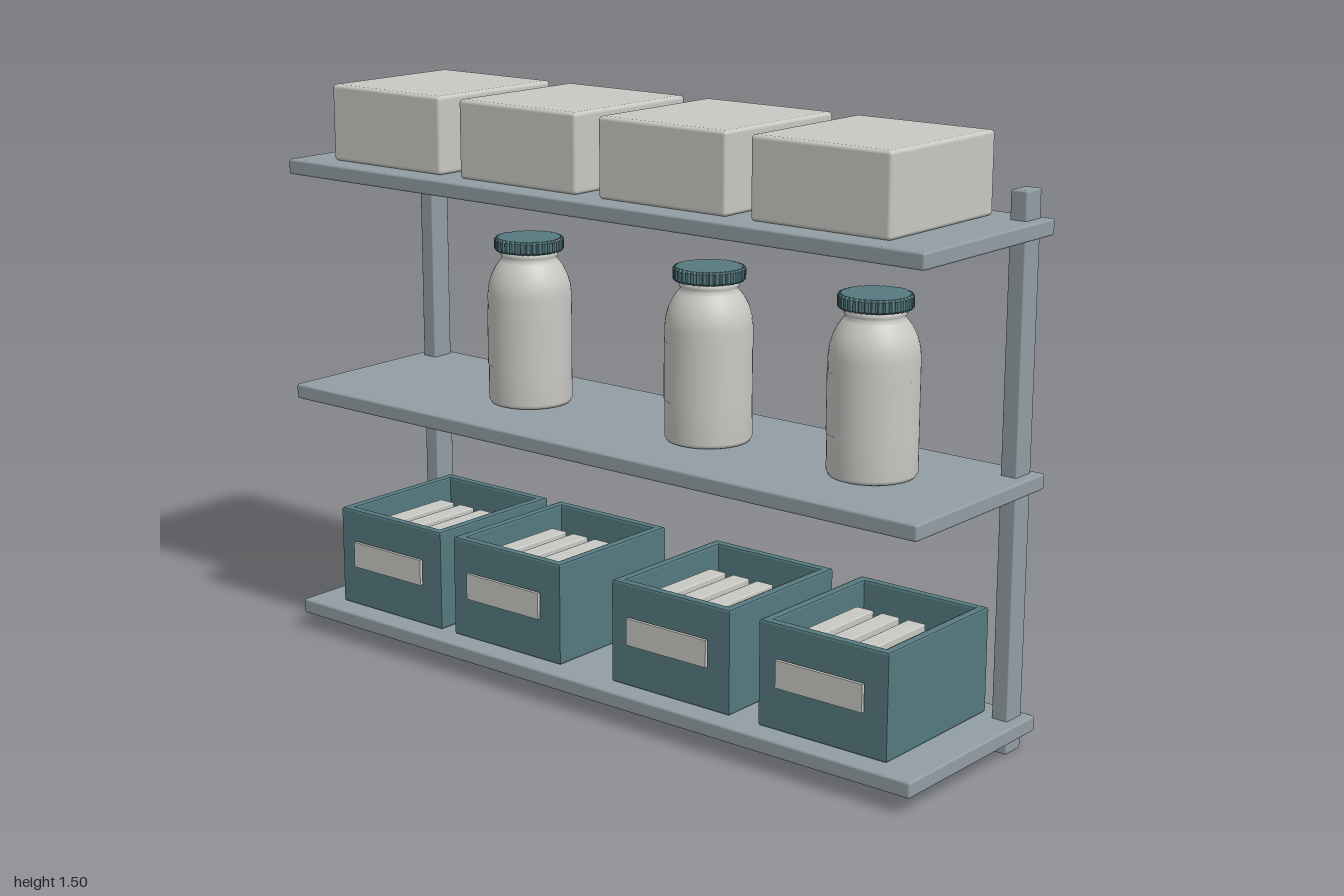
import * as THREE from 'three';
import { RoundedBoxGeometry } from 'three/addons/geometries/RoundedBoxGeometry.js';

function material(name, color) {
  const m = new THREE.MeshStandardMaterial({ color });
  m.name = name;
  return m;
}

const V = (x, y) => new THREE.Vector2(x, y);

export function createModel() {
  const steel = material('grey steel', 0x919da4);
  const white = material('off white', 0xc8c8c4);
  const teal = material('teal', 0x55797f);
  const label = material('label white', 0xc8c8c4);
  label.side = THREE.DoubleSide;

  const root = new THREE.Group();
  root.name = 'shelfUnit';

  function add(parent, name, geometry, mat, x = 0, y = 0, z = 0) {
    const mesh = new THREE.Mesh(geometry, mat);
    mesh.name = name;
    mesh.position.set(x, y, z);
    parent.add(mesh);
    return mesh;
  }
  function group(name, x, y, z = 0) {
    const g = new THREE.Group();
    g.name = name;
    g.position.set(x, y, z);
    root.add(g);
    return g;
  }
  const block = (w, h, d, r) => new RoundedBoxGeometry(w, h, d, 2, r);

  // Three boards carried by two rear posts
  const boardGeo = block(2, 0.04, 0.54, 0.006);
  for (const y of [0.065, 0.675, 1.285]) add(root, 'shelfBoard', boardGeo, steel, 0, y, 0);
  const postGeo = block(0.044, 1.375, 0.064, 0.004);
  for (const s of [-1, 1]) add(root, 'post', postGeo, steel, s * 0.95, 0.6875, -0.22);

  // Closed boxes on the top shelf
  const boxGeo = block(0.388, 0.2, 0.42, 0.01);
  for (const x of [-0.696, -0.241, 0.218, 0.676]) add(root, 'storageBox', boxGeo, white, x, 1.405, 0);

  // Bottles on the middle shelf
  const bottleGeo = new THREE.LatheGeometry([
    V(0, 0), V(0.096, 0), V(0.104, 0.003), V(0.109, 0.012), V(0.109, 0.1), V(0.109, 0.2),
    V(0.109, 0.29), V(0.106, 0.315), V(0.099, 0.338), V(0.088, 0.36), V(0.077, 0.375),
    V(0.07, 0.384), V(0.074, 0.39), V(0.074, 0.398), V(0.07, 0.402), V(0.07, 0.412), V(0, 0.412),
  ], 40);

  // Fluted cap outline, extruded upwards
  const teeth = 36;
  const capShape = new THREE.Shape();
  for (let i = 0; i < teeth * 4; i++) {
    const a = (i / (teeth * 4)) * Math.PI * 2;
    const r = i % 4 < 2 ? 0.086 : 0.081;
    if (i === 0) capShape.moveTo(r, 0);
    else capShape.lineTo(r * Math.cos(a), r * Math.sin(a));
  }
  const capGeo = new THREE.ExtrudeGeometry(capShape, {
    depth: 0.024, bevelEnabled: true, bevelThickness: 0.005, bevelSize: 0.004, bevelSegments: 1,
  });
  capGeo.rotateX(-Math.PI / 2);

  // Wraparound label on the front of each bottle
  const wrapGeo = new THREE.CylinderGeometry(0.1105, 0.1105, 0.15, 32, 1, true, -1.5, 3);
  for (const x of [-0.393, 0.2, 0.692]) {
    const bottle = group('bottle', x, 0.695);
    add(bottle, 'bottleBody', bottleGeo, white);
    add(bottle, 'bottleCap', capGeo, teal, 0, 0.408, 0);
    add(bottle, 'bottleLabel', wrapGeo, label, 0, 0.18, 0);
  }

  // Open bins on the bottom shelf
  function rectangle(path, w, d) {
    path.moveTo(-w / 2, -d / 2);
    path.lineTo(w / 2, -d / 2);
    path.lineTo(w / 2, d / 2);
    path.lineTo(-w / 2, d / 2);
    path.closePath();
    return path;
  }
  const wallShape = rectangle(new THREE.Shape(), 0.37, 0.42);
  wallShape.holes.push(rectangle(new THREE.Path(), 0.32, 0.37));
  const wallGeo = new THREE.ExtrudeGeometry(wallShape, {
    depth: 0.258, bevelEnabled: true, bevelThickness: 0.006, bevelSize: 0.006,
    bevelOffset: -0.006, bevelSegments: 2,
  });
  wallGeo.rotateX(-Math.PI / 2);
  const floorGeo = new THREE.BoxGeometry(0.34, 0.02, 0.39);
  const plateGeo = new THREE.BoxGeometry(0.25, 0.07, 0.009);
  const slabGeo = block(0.052, 0.2, 0.25, 0.004);

  for (const x of [-0.715, -0.295, 0.25, 0.71]) {
    const bin = group('bin', x, 0.085);
    add(bin, 'binWalls', wallGeo, teal, 0, 0.006, 0);
    add(bin, 'binFloor', floorGeo, teal, 0, 0.012, 0);
    add(bin, 'binLabel', plateGeo, white, 0, 0.15, 0.223);
    // Packets standing side by side inside the bin
    for (let i = 0; i < 4; i++) add(bin, 'packet', slabGeo, white, (i - 1.5) * 0.076, 0.122, 0);
  }
  return root;
}
